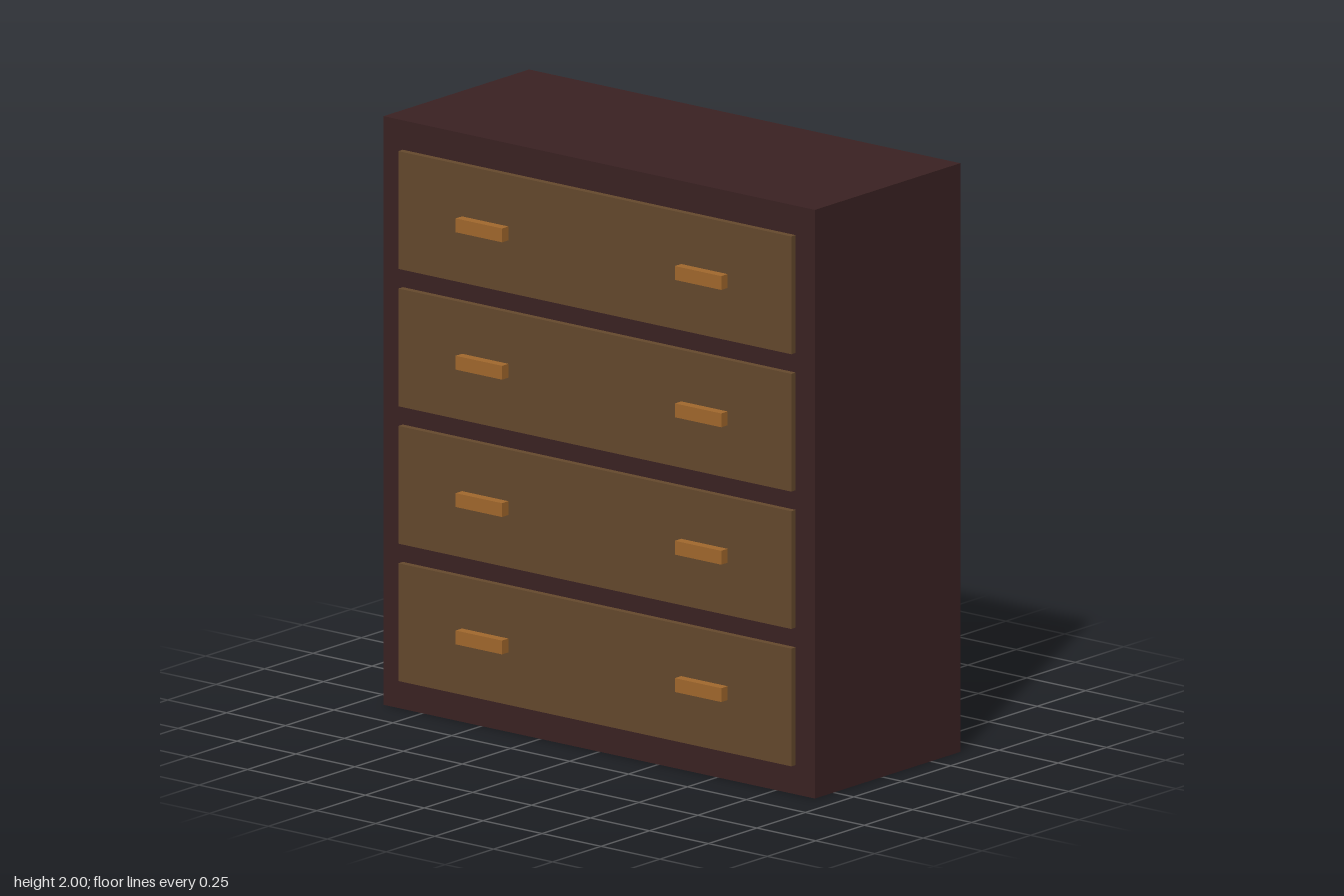
import * as THREE from 'three';

const material = (name, color) => {
  const m = new THREE.MeshStandardMaterial({ color });
  m.name = name;
  return m;
};

// Box given by its size, centre x, centre y and its back and front z
function block(name, mat, w, h, x, y, back, front) {
  const mesh = new THREE.Mesh(new THREE.BoxGeometry(w, h, front - back), mat);
  mesh.name = name;
  mesh.position.set(x, y, (back + front) / 2);
  return mesh;
}

export function createModel() {
  const darkWood = material('dark wood', 0x3b2223);
  const drawerWood = material('drawer wood', 0x664a2d);
  const handleWood = material('handle wood', 0xa3692d);

  const dresser = new THREE.Group();
  dresser.name = 'chestOfDrawers';

  // Carcass
  dresser.add(block('carcass', darkWood, 1.83, 2, 0, 1, -0.403, 0.347));

  // Four drawers, each with a pair of handles
  for (let i = 0; i < 4; i++) {
    const y = 0.3 + i * 0.4667;
    const drawer = new THREE.Group();
    drawer.name = `drawer${i + 1}`;
    drawer.add(block('drawerFront', drawerWood, 1.667, 0.4, 0, y, 0.337, 0.37));
    for (const side of [-1, 1]) {
      const name = side > 0 ? 'leftHandle' : 'rightHandle';
      drawer.add(block(name, handleWood, 0.197, 0.047, side * 0.465, y + 0.002, 0.365, 0.403));
    }
    dresser.add(drawer);
  }
  return dresser;
}
